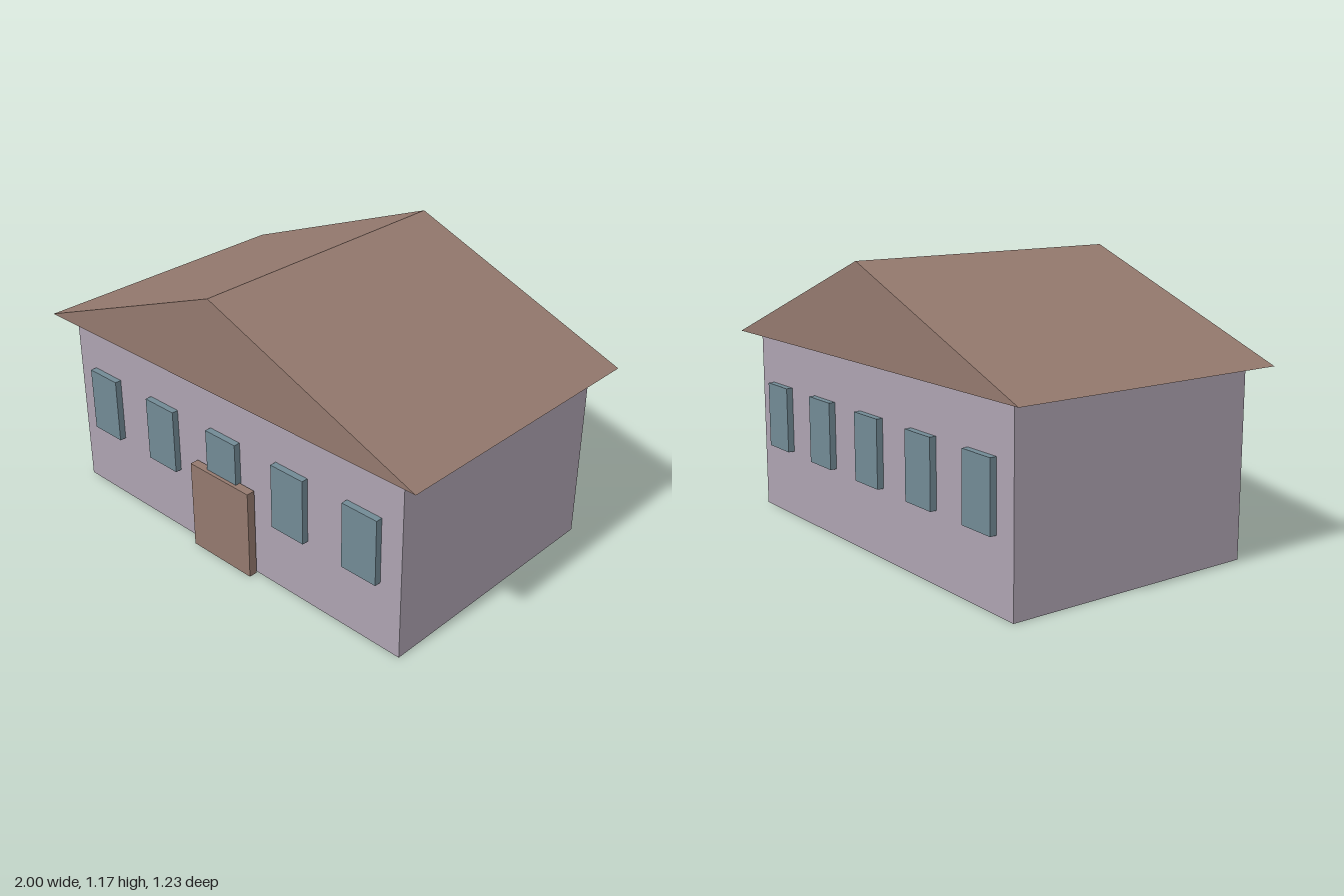
import * as THREE from 'three';

export function createModel() {
  const house = new THREE.Group();
  house.name = 'house';

  const material = (name, color) => {
    const m = new THREE.MeshStandardMaterial({ color });
    m.name = name;
    return m;
  };
  const wallPaint = material('mauve wall', 0xada3b1);
  const brown = material('brown roof and door', 0x94796e);
  const glass = material('blue grey glass', 0x728a95);

  const add = (name, geometry, mat, x, y, z) => {
    const mesh = new THREE.Mesh(geometry, mat);
    mesh.name = name;
    mesh.position.set(x, y, z);
    house.add(mesh);
  };

  // Main block
  const wallHeight = 0.78, wallDepth = 1.114;
  add('walls', new THREE.BoxGeometry(1.814, wallHeight, wallDepth), wallPaint, 0, wallHeight / 2, 0);

  // Solid gable roof, ridge running front to back
  const roofDepth = 1.226;
  const gable = new THREE.Shape([
    new THREE.Vector2(-1, 0),
    new THREE.Vector2(1, 0),
    new THREE.Vector2(0, 0.39),
  ]);
  const roof = new THREE.ExtrudeGeometry(gable, { depth: roofDepth, bevelEnabled: false });
  add('roof', roof, brown, 0, wallHeight, -roofDepth / 2);

  // Door slab standing just clear of the front wall
  add('door', new THREE.BoxGeometry(0.328, 0.39, 0.037), brown, 0, 0.195, 0.582);

  // Five windows on the front and five on the back, half sunk in the wall
  const pane = new THREE.BoxGeometry(0.166, 0.28, 0.056);
  for (const [side, sign] of [['front', 1], ['back', -1]]) {
    for (let i = -2; i <= 2; i++) {
      add(`${side}Window${i + 3}`, pane, glass, i * 0.363, 0.43, sign * wallDepth / 2);
    }
  }
  return house;
}
